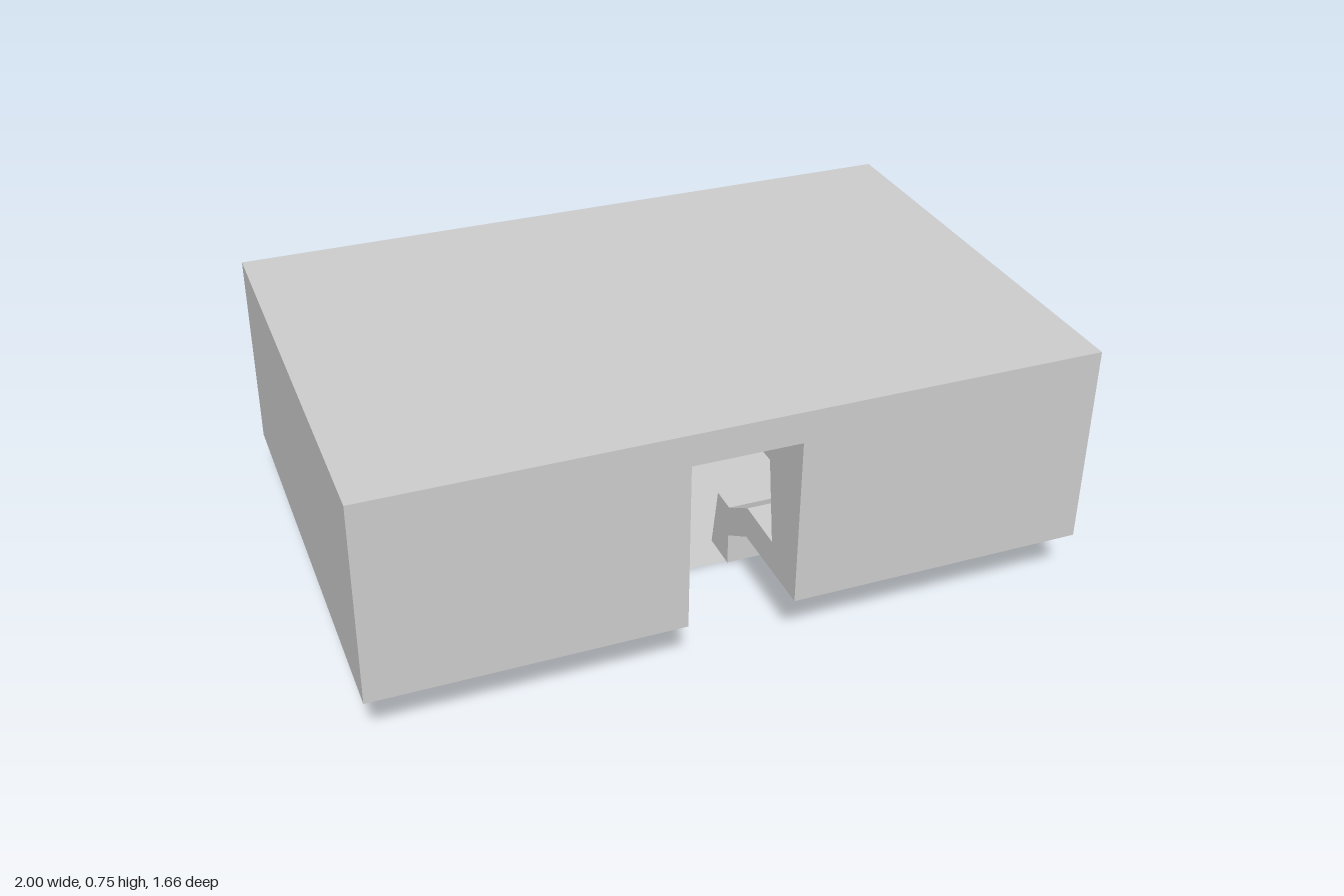
import * as THREE from 'three';

const BACK = -0.48, FRONT = 0.83, SLOT = 0.15;

// Rail cross-section: [distance from the middle, height, front reach], counter-clockwise
const PROFILE = [
  [0.79, 0.66], [0.85, 0.26], [0.69, 0.265], [0.57, 0.19], [0.49, 0.19], [0.49, 0, 0.285],
  [0.57, 0], [0.57, 0.095], [0.69, 0.17], [1, 0.17], [1, 0.66],
].map(([u, y, v = u - 0.17]) => ({ u, y, v }));

// Sweeps the section along one side and round a mitred corner to the front slot
function railGeometry(side) {
  const n = PROFILE.length;
  const stations = [
    (p) => [side * p.u, p.y, BACK],
    (p) => [side * p.u, p.y, p.v],
    (p) => [side * SLOT, p.y, p.v],
  ];
  const positions = stations.flatMap((at) => PROFILE.flatMap(at));
  const index = [];
  const tri = (a, b, c) => index.push(...(side > 0 ? [a, b, c] : [a, c, b]));

  for (let s = 0; s < 2; s++) {
    for (let i = 0; i < n - 1; i++) {
      const a = s * n + i, b = a + 1;
      tri(a, b, b + n);
      tri(a, b + n, a + n);
    }
  }
  // End caps at the open back and at the slot
  const cap = (key) => THREE.ShapeUtils.triangulateShape(
    PROFILE.map((p) => new THREE.Vector2(p[key], p.y)), []);
  cap('u').forEach(([a, b, c]) => tri(a, c, b));
  cap('v').forEach(([a, b, c]) => tri(a + 2 * n, b + 2 * n, c + 2 * n));

  const geo = new THREE.BufferGeometry();
  geo.setAttribute('position', new THREE.Float32BufferAttribute(positions, 3));
  geo.setIndex(index);
  const flat = geo.toNonIndexed();
  flat.computeVertexNormals();
  return flat;
}

export function createModel() {
  const group = new THREE.Group();
  group.name = 'slideHousing';
  const material = new THREE.MeshStandardMaterial({ color: 0xcccccc, flatShading: true });
  const add = (name, geometry, mat = material) => {
    const mesh = new THREE.Mesh(geometry, mat);
    mesh.name = name;
    group.add(mesh);
    return mesh;
  };

  // Flat roof bridging both rails and the slot
  add('roof', new THREE.BoxGeometry(2, 0.09, FRONT - BACK))
    .position.set(0, 0.705, (FRONT + BACK) / 2);

  // Mirrored side walls with their inner lips
  add('leftRail', railGeometry(1));
  add('rightRail', railGeometry(-1));

  // Thin floor sheet that sticks out at the back
  const sheetMaterial = material.clone();
  sheetMaterial.side = THREE.DoubleSide;
  add('floorSheet', new THREE.PlaneGeometry(1.23, 1.22).rotateX(-Math.PI / 2), sheetMaterial)
    .position.set(0.015, 0, -0.22);

  return group;
}
